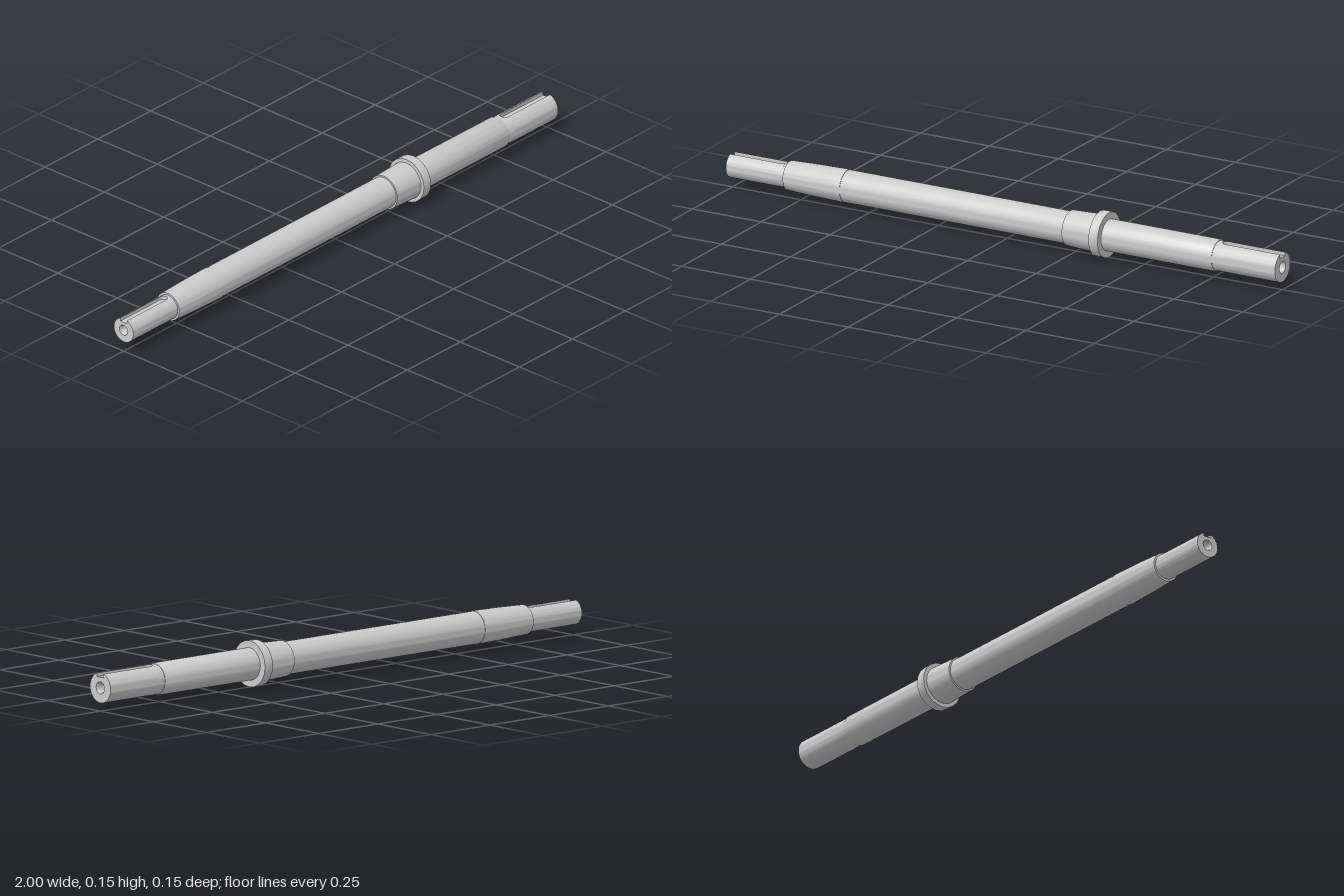
import * as THREE from 'three';
import { toCreasedNormals } from 'three/addons/utils/BufferGeometryUtils.js';

const AXIS_Y = 0.075;
const material = new THREE.MeshStandardMaterial({ color: 0xcccccc });
const innerMaterial = new THREE.MeshStandardMaterial({ color: 0xcccccc, side: THREE.DoubleSide });

function part(name, geometry, mat = material) {
  const mesh = new THREE.Mesh(geometry, mat);
  mesh.name = name;
  return mesh;
}

// Turned part about the x axis; profile is a list of [x, radius]
function turned(profile, segments) {
  const points = profile.map(([x, r]) => new THREE.Vector2(r, x));
  const geometry = new THREE.LatheGeometry(points, segments).rotateZ(-Math.PI / 2);
  return toCreasedNormals(geometry, 0.4);
}

// Outline of a round section with a slot of half width w and floor height h, as [z, y]
function slottedRing(r, w, h, count = 48) {
  const a = Math.asin(w / r);
  const ring = [];
  for (let i = 0; i <= count; i++) {
    const t = a + (2 * Math.PI - 2 * a) * i / count;
    ring.push([r * Math.sin(t), r * Math.cos(t)]);
  }
  ring.push([-w, h], [w, h]);
  return ring;
}

// Shaft end running along +x to x = 1, with an open keyway rounded at its inner end
function keyedEnd(name, { start, keyStart, radius, halfWidth, floor, bore }) {
  const group = new THREE.Group();
  group.name = name;

  const sections = [[start, 0], [keyStart, 0]];
  for (let i = 1; i <= 8; i++) {
    const t = (i / 8) * Math.PI / 2;
    sections.push([keyStart + halfWidth * (1 - Math.cos(t)), halfWidth * Math.sin(t)]);
  }
  sections.push([1, halfWidth]);

  const positions = [], indices = [];
  let n = 0;
  sections.forEach(([x, w], i) => {
    const ring = slottedRing(radius, w, i === 0 ? radius : floor);
    n = ring.length;
    ring.forEach(([z, y]) => positions.push(x, y, z));
    if (i === 0) return;
    for (let j = 0; j < n; j++) {
      const k = (j + 1) % n;
      const p = (i - 1) * n, q = i * n;
      // the plain cylinder before the slot needs no slot faces
      if (i === 1 && j >= n - 3) continue;
      indices.push(p + j, p + k, q + j, p + k, q + k, q + j);
    }
  });
  const geometry = new THREE.BufferGeometry();
  geometry.setAttribute('position', new THREE.Float32BufferAttribute(positions, 3));
  geometry.setIndex(indices);
  group.add(part('keyedJournal', toCreasedNormals(geometry, 0.4)));

  // End face with the centre hole
  const face = new THREE.Shape(slottedRing(radius, halfWidth, floor).map(([z, y]) => new THREE.Vector2(z, y)));
  const hole = new THREE.Path();
  hole.absarc(0, 0, bore, 0, Math.PI * 2, true);
  face.holes.push(hole);
  group.add(part('endFace', new THREE.ShapeGeometry(face, 12).rotateY(Math.PI / 2).translate(1, 0, 0)));

  // Countersunk centre hole with a conical bottom
  const b = bore * 0.86;
  group.add(part('centreHole', turned([[0.89, 0], [0.9, b], [0.994, b], [1, bore]], 24), innerMaterial));
  return group;
}

export function createModel() {
  const model = new THREE.Group();
  model.name = 'shaft';
  const shaft = new THREE.Group();
  shaft.name = 'shaftAssembly';
  shaft.position.y = AXIS_Y;
  model.add(shaft);

  // Main body: tapered seat, long barrel, tapered collar, outer journal
  shaft.add(part('body', turned([
    [-0.79, 0.02], [-0.79, 0.0475], [-0.69, 0.0515], [-0.58, 0.0535], [-0.58, 0.0522],
    [0.23, 0.0522], [0.23, 0.0575], [0.345, 0.062], [0.345, 0.0518],
    [0.765, 0.0518], [0.77, 0.05], [0.77, 0.02],
  ], 48)));

  // Thrust flange
  shaft.add(part('flange', turned([
    [0.337, 0.05], [0.337, 0.0745], [0.37, 0.0745], [0.37, 0.05],
  ], 20)));

  shaft.add(keyedEnd('leftEnd', {
    start: 0.768, keyStart: 0.785, radius: 0.0485, halfWidth: 0.0145, floor: 0.034, bore: 0.0195,
  }));
  const rightEnd = keyedEnd('rightEnd', {
    start: 0.788, keyStart: 0.8, radius: 0.041, halfWidth: 0.0135, floor: 0.028, bore: 0.0175,
  });
  rightEnd.rotation.y = Math.PI;
  shaft.add(rightEnd);

  return model;
}
